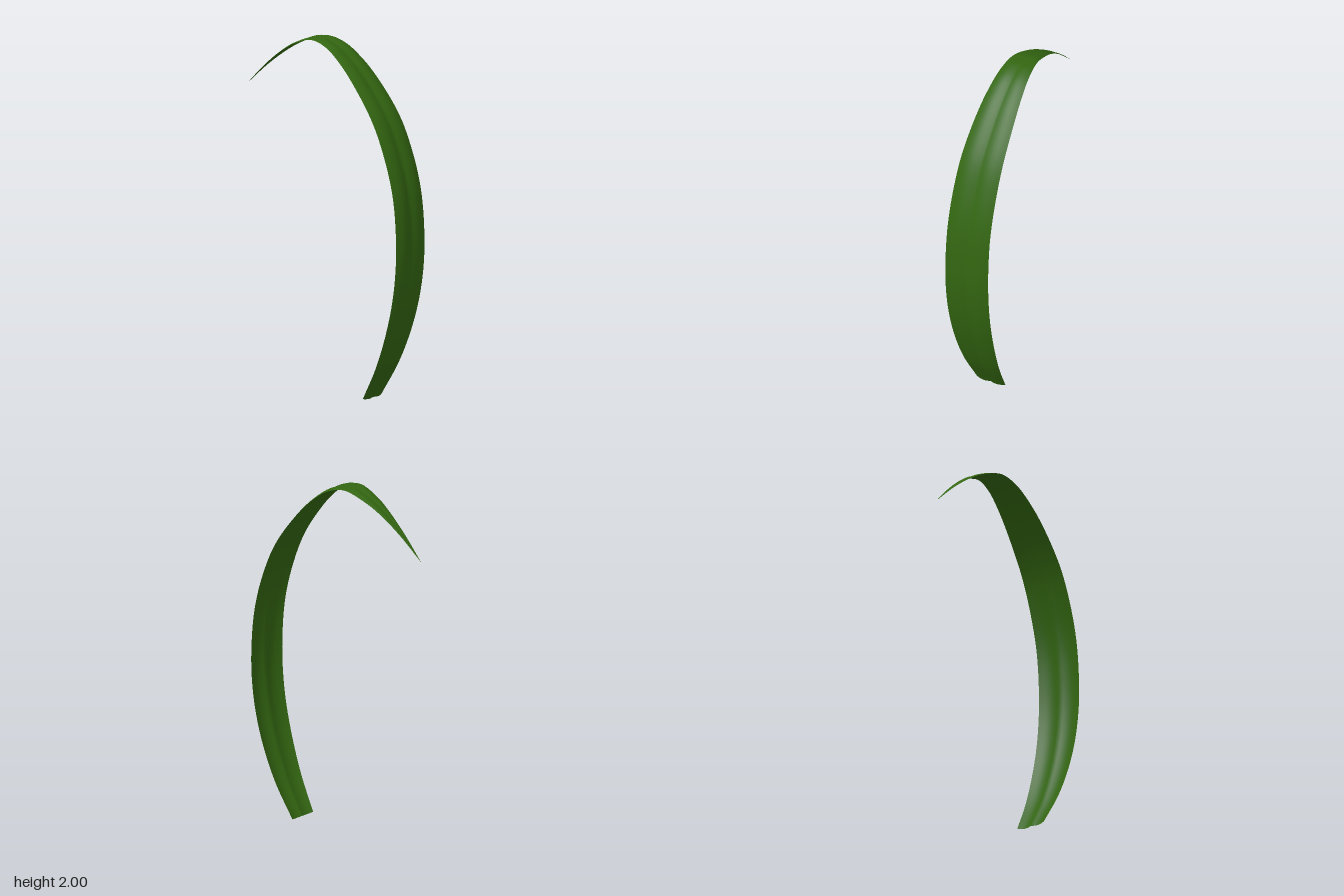
import * as THREE from 'three';

// Stations along the blade: [x of the spine, height, blade width]
const STATIONS = [
  [0.238, 0.006, 0.18], [0.333, 0.2, 0.222], [0.403, 0.4, 0.25], [0.45, 0.6, 0.264],
  [0.473, 0.8, 0.27], [0.473, 1.0, 0.27], [0.453, 1.2, 0.268], [0.403, 1.4, 0.265],
  [0.323, 1.6, 0.256], [0.19, 1.8, 0.23], [0.1, 1.9, 0.206], [0.01, 1.97, 0.18],
  [-0.09, 1.997, 0.152], [-0.22, 1.95, 0.113], [-0.305, 1.895, 0.08],
  [-0.42, 1.796, 0.04], [-0.54, 1.67, 0.001],
];

// The spine lies in one upright plane
const SLOPE = 0.511;
const spineZ = (x) => SLOPE * x - 0.044;
const across = new THREE.Vector3(0.425, 0, -0.905).normalize();

// Cross-section: a shallow arch with two lobes and a groove along the midrib
const lobes = (s) => 0.03 * (1 - s * s) + 0.042 * Math.sin(Math.PI * Math.abs(s));

function bladeGeometry() {
  const path = new THREE.CatmullRomCurve3(STATIONS.map((p) => new THREE.Vector3(...p)));
  const geometry = new THREE.PlaneGeometry(2, 1, 16, 96);
  const position = geometry.attributes.position;
  const point = new THREE.Vector3();
  for (let i = 0; i < position.count; i++) {
    const s = position.getX(i);
    const t = position.getY(i) + 0.5;
    const { x, y, z: width } = path.getPoint(t);
    const d = path.getTangent(t);
    const along = new THREE.Vector3(d.x, d.y, SLOPE * d.x).normalize();
    const outward = across.clone().cross(along).normalize();
    point.set(x, y, spineZ(x))
      .addScaledVector(across, (s * width) / 2)
      .addScaledVector(outward, lobes(s) * width);
    position.setXYZ(i, point.x, Math.min(2, Math.max(0, point.y)), point.z);
  }
  geometry.computeVertexNormals();
  return geometry;
}

export function createModel() {
  const group = new THREE.Group();
  group.name = 'grassBlade';
  const material = new THREE.MeshStandardMaterial({ color: 0x336611, side: THREE.DoubleSide });
  const leaf = new THREE.Mesh(bladeGeometry(), material);
  leaf.name = 'leaf';
  group.add(leaf);
  return group;
}
